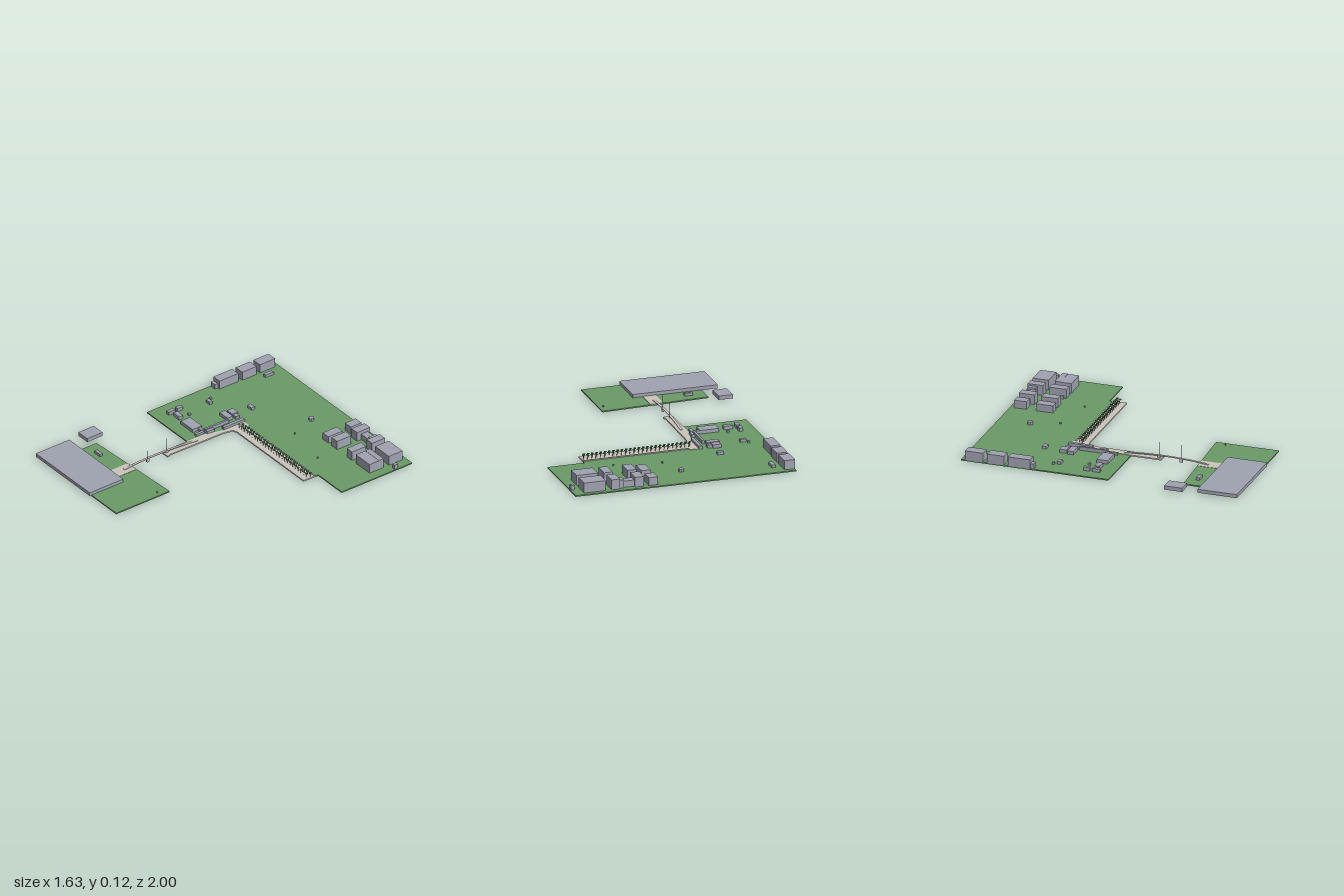
import * as THREE from 'three';

const mat = (name, color, side = THREE.FrontSide) => {
  const m = new THREE.MeshStandardMaterial({ color, side });
  m.name = name;
  return m;
};

export function createModel() {
  const model = new THREE.Group();
  const grass = mat('grass green', 0x6a9a68);
  const concrete = mat('building grey', 0x9fa3b0, THREE.DoubleSide);
  const paving = mat('pale paving', 0xcac6bd);
  const leaf = mat('tree green', 0x3f7a48);
  const steel = mat('mast grey', 0x85878c);
  const bark = mat('trunk brown', 0x6b5a48);

  const add = (name, geo, material, parent = model) => {
    const mesh = new THREE.Mesh(geo, material);
    mesh.name = name;
    parent.add(mesh);
    return mesh;
  };
  const group = (name) => {
    const g = new THREE.Group();
    g.name = name;
    model.add(g);
    return g;
  };

  // Horizontal slab from an outline of [x, z] points
  const slab = (name, pts, y0, y1, material) => {
    const shape = new THREE.Shape(pts.map(([x, z]) => new THREE.Vector2(x, -z)));
    const geo = new THREE.ExtrudeGeometry(shape, { depth: y1 - y0, bevelEnabled: false });
    geo.rotateX(-Math.PI / 2).translate(0, y0, 0);
    add(name, geo, material);
  };

  // Lawns
  slab('northGround', [[-0.77, -1], [0.815, -1], [0.815, -0.4], [0.55, -0.4], [0.55, -0.375],
    [-0.275, -0.375], [-0.275, -0.22], [-0.315, -0.07], [-0.315, 0.065], [-0.77, 0.065]], 0.001, 0.01, grass);
  slab('southGround', [[-0.67, 0.57], [0.105, 0.53], [0.105, 0.985], [-0.67, 0.985]], 0.002, 0.011, grass);

  // Riverside promenade and the landing on the far bank
  slab('promenade', [[-0.275, -0.39], [-0.215, -0.39], [-0.21, -0.375], [0.55, -0.375], [0.55, -0.275],
    [-0.205, -0.275], [-0.235, -0.262], [-0.25, -0.2], [-0.255, 0.255], [-0.245, 0.262], [-0.245, 0.285],
    [-0.315, 0.285], [-0.315, -0.07], [-0.275, -0.22]], 0.003, 0.013, paving);
  slab('landing', [[-0.34, 0.553], [-0.245, 0.549], [-0.245, 0.73], [-0.34, 0.73]], 0, 0.013, paving);
  add('promenadeKerb', new THREE.BoxGeometry(0.76, 0.006, 0.01), paving).position.set(0.17, 0.014, -0.37);

  // Footbridge deck rising gently over the water
  const length = 0.62;
  const deck = new THREE.BoxGeometry(0.018, 0.004, length, 1, 1, 20);
  deck.translate(0, 0, length / 2);
  const p = deck.attributes.position;
  for (let i = 0; i < p.count; i++) {
    const t = THREE.MathUtils.clamp(p.getZ(i) / length, 0, 1);
    const rise = 0.064 * t * (1 - t);
    p.setX(i, p.getX(i) - 0.283 - 0.012 * t);
    p.setY(i, p.getY(i) + 0.013 + rise);
  }
  deck.computeVertexNormals();
  add('bridgeDeck', deck, paving);
  const supports = group('bridgeSupports');
  for (const z of [0.26, 0.42]) {
    add('pier', new THREE.BoxGeometry(0.014, 0.026, 0.02), paving, supports).position.set(-0.29, 0.013, z);
    add('mast', new THREE.CylinderGeometry(0.0015, 0.002, 0.1, 6), steel, supports).position.set(-0.287, 0.075, z);
  }

  // Two staggered rows of trees
  const trees = group('promenadeTrees');
  const trunk = new THREE.CylinderGeometry(0.0013, 0.0018, 0.028, 5);
  const crown = new THREE.SphereGeometry(0.01, 8, 5);
  crown.scale(1, 0.5, 1);
  for (const [z, x0] of [[-0.34, -0.221], [-0.316, -0.235]]) {
    for (let i = 0; i < 26; i++) {
      const x = x0 + i * 0.0304;
      add('trunk', trunk, bark, trees).position.set(x, 0.026, z);
      add('crown', crown, leaf, trees).position.set(x, 0.041, z);
    }
  }

  // Open-bottomed building block: x range, z range, top height, base height
  const building = (parent, name, [x0, x1, z0, z1, top, base = 0.0095]) => {
    const geo = new THREE.BoxGeometry(x1 - x0, top - base, z1 - z0);
    const idx = Array.from(geo.index.array);
    idx.splice(18, 6);
    geo.setIndex(idx);
    geo.clearGroups();
    add(name, geo, concrete, parent).position.set((x0 + x1) / 2, (top + base) / 2, (z0 + z1) / 2);
  };
  const block = (name, list) => {
    const g = group(name);
    list.forEach((b, i) => building(g, 'building' + (i + 1), b));
  };

  block('westBuildings', [
    [-0.77, -0.695, -0.97, -0.84, 0.076],
    [-0.77, -0.695, -0.81, -0.69, 0.075],
    [-0.77, -0.7, -0.66, -0.5, 0.075],
    [-0.765, -0.72, -0.5, -0.475, 0.045],
    [-0.65, -0.625, -0.905, -0.835, 0.03],
  ]);

  // Towers repeated in two rows
  const columns = [[0.215, 0.28, 0.066], [0.315, 0.378, 0.08], [0.487, 0.547, 0.082]];
  block('eastTowers', columns.flatMap(([a, b, h], i) => [
    [a, b, -0.97, i ? -0.86 : -0.88, h],
    [a, b, -0.81, -0.69, h - 0.004],
  ]));
  block('eastBuildings', [
    [0.59, 0.745, -0.97, -0.855, 0.082],
    [0.59, 0.745, -0.81, -0.77, 0.082],
    [0.59, 0.745, -0.77, -0.69, 0.08],
    [0.375, 0.48, -0.95, -0.895, 0.055],
    [0.455, 0.49, -0.96, -0.9, 0.07],
    [0.785, 0.81, -0.885, -0.855, 0.043],
    [0.475, 0.485, -0.725, -0.705, 0.03],
  ]);
  block('waterfrontBuildings', [
    [-0.405, -0.36, -0.545, -0.515, 0.03],
    [-0.63, -0.585, -0.355, -0.33, 0.03],
    [-0.645, -0.63, -0.385, -0.37, 0.025],
    [-0.43, -0.37, -0.41, -0.36, 0.035],
    [-0.37, -0.335, -0.395, -0.365, 0.03],
    [-0.44, -0.35, -0.35, -0.305, 0.035],
    [-0.345, -0.33, -0.3, -0.1, 0.035],
    [-0.298, -0.275, -0.395, -0.22, 0.032],
    [-0.325, -0.303, -0.16, -0.1, 0.03],
    [-0.515, -0.38, -0.11, -0.03, 0.035],
    [-0.38, -0.345, -0.1, -0.075, 0.03],
    [-0.345, -0.325, -0.09, -0.02, 0.026],
    [-0.675, -0.648, -0.15, -0.105, 0.035],
    [-0.675, -0.648, -0.085, -0.03, 0.035],
    [-0.625, -0.56, -0.085, -0.05, 0.035],
    [-0.575, -0.56, -0.15, -0.135, 0.025],
  ]);
  block('southBuildings', [
    [-0.785, -0.175, 0.715, 1, 0.035],
    [-0.815, -0.715, 0.485, 0.615, 0.04, 0.012],
    [-0.58, -0.52, 0.632, 0.655, 0.03],
  ]);

  // Small pavilions and kiosks on the lawns
  const kiosks = group('kiosks');
  for (const [x, z, r, top] of [[-0.02, -0.77, 0.02, 0.03], [0.05, -0.575, 0.006, 0.022],
    [0.385, -0.52, 0.005, 0.022], [0.072, 0.61, 0.005, 0.022]]) {
    const geo = new THREE.CylinderGeometry(r, r, top - 0.009, 6).toNonIndexed();
    geo.computeVertexNormals();
    add('kiosk', geo, concrete, kiosks).position.set(x, (top + 0.009) / 2, z);
  }
  return model;
}
